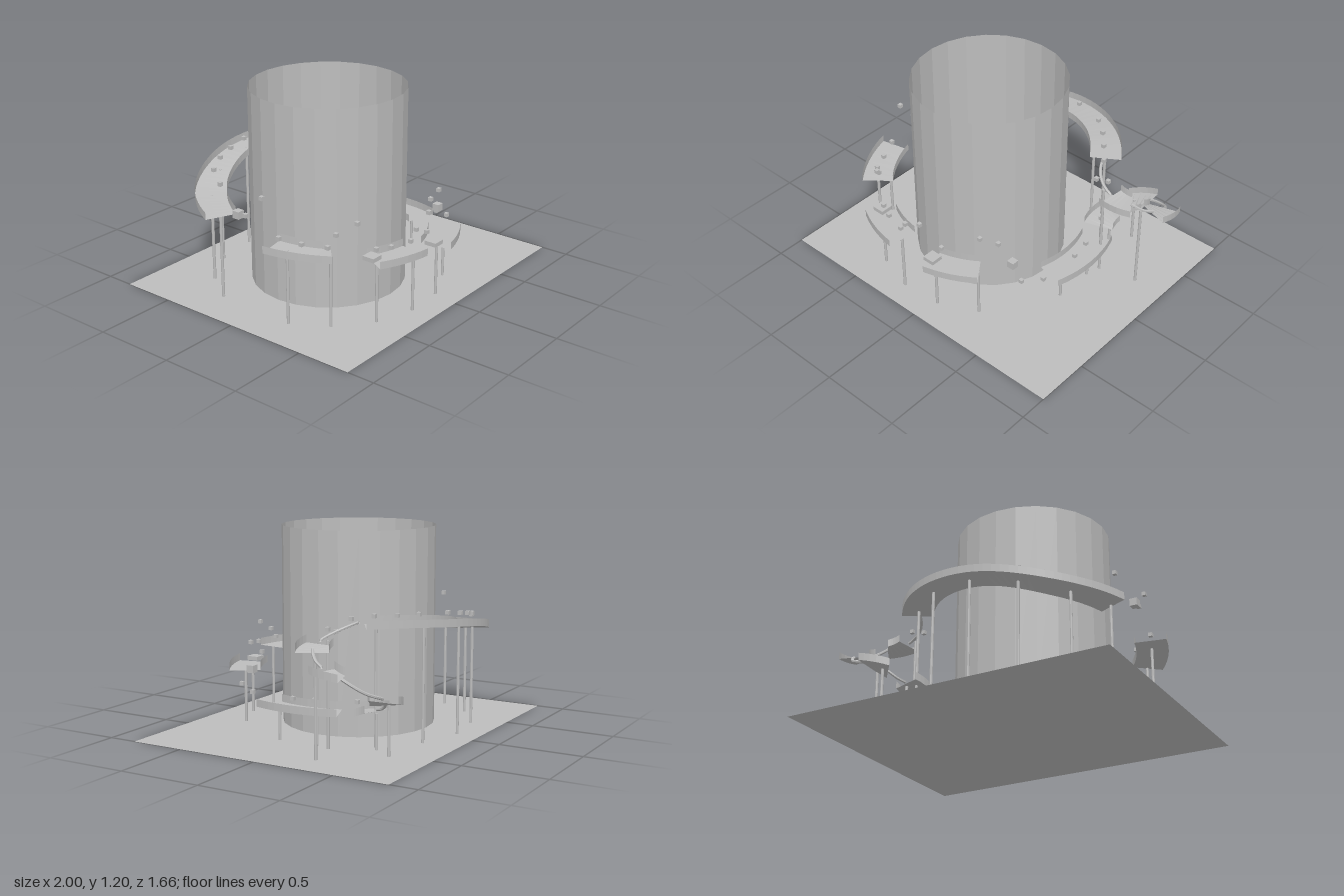
import * as THREE from 'three';

const RAD = Math.PI / 180;
const TOWER = [-0.135, 0];   // centre of the tower and the large ring
const LOOP = [0.65, -0.395]; // centre of the small descending loop

export function createModel() {
  const model = new THREE.Group();
  const grey = new THREE.MeshStandardMaterial({ color: 0xbdbdbd, side: THREE.DoubleSide, flatShading: true });
  grey.name = 'plain grey';

  function add(name, geometry, x = 0, y = 0, z = 0) {
    const mesh = new THREE.Mesh(geometry, grey);
    mesh.name = name;
    mesh.position.set(x, y, z);
    model.add(mesh);
    return mesh;
  }

  // Point on a circle; angles run from +x towards +z, in degrees
  const polar = ([cx, cz], r, deg, y) =>
    new THREE.Vector3(cx + r * Math.cos(deg * RAD), y, cz + r * Math.sin(deg * RAD));

  // Height between [angle, y] keys
  function heightAt(keys, t) {
    const curve = new THREE.CatmullRomCurve3(keys.map(([a, y]) => new THREE.Vector3(a, y, 0)));
    return curve.getPoint(t);
  }

  // Curved trough: thin floor with a low wall on each side
  function trough(name, centre, inner, outer, keys, steps, wall = 0.045) {
    const pos = [], index = [];
    for (let i = 0; i <= steps; i++) {
      const { x: a, y } = heightAt(keys, i / steps);
      for (const [r, h] of [[inner, wall], [inner, 0], [outer, 0], [outer, wall]]) {
        pos.push(...polar(centre, r, a, y + h).toArray());
      }
      if (i === steps) break;
      for (let j = 0; j < 3; j++) {
        const p = i * 4 + j;
        index.push(p, p + 4, p + 1, p + 1, p + 4, p + 5);
      }
    }
    const geo = new THREE.BufferGeometry();
    geo.setAttribute('position', new THREE.Float32BufferAttribute(pos, 3));
    geo.setIndex(index);
    const flat = geo.toNonIndexed();
    flat.computeVertexNormals();
    add(name, flat);
  }

  // Ground and open tower
  add('ground', new THREE.PlaneGeometry(2, 1.66).rotateX(-Math.PI / 2));
  add('tower', new THREE.CylinderGeometry(0.465, 0.465, 1.2, 24, 1, true), TOWER[0], 0.6, TOWER[1]);

  // Large ring of track sections
  const ring = [
    ['upperTrack', [[-33, 0.69], [-52, 0.69], [-90, 0.645], [-126, 0.555], [-157, 0.51]], 40],
    ['leftTrack', [[168, 0.455], [139.5, 0.43]], 8],
    ['frontLeftTrack', [[120, 0.372], [96.3, 0.372]], 8],
    ['frontRightTrack', [[77.7, 0.315], [53.6, 0.315]], 8],
    ['lowerTrack', [[18.2, 0.197], [-21, 0.197]], 12],
  ];
  for (const [name, keys, steps] of ring) trough(name, TOWER, 0.6, 0.788, keys, steps);

  // Fan-shaped sections of the small loop
  const fans = [
    [[96, 0.605], [57, 0.58]],
    [[17, 0.505], [-18, 0.475]],
    [[-93, 0.325], [-129, 0.28]],
    [[-161, 0.225], [-198, 0.197]],
  ];
  for (const keys of fans) trough('loopTrack', LOOP, 0.11, 0.295, keys, 6);

  // Thin rails joining the fans
  const rails = [
    [[165, 0.715], [130, 0.665], [96, 0.625]],
    [[57, 0.6], [37, 0.555], [17, 0.525]],
    [[-18, 0.475], [-55, 0.395], [-93, 0.345]],
    [[-129, 0.285], [-145, 0.25], [-161, 0.235]],
  ];
  for (const keys of rails) {
    const pts = [];
    for (let i = 0; i <= 12; i++) {
      const { x: a, y } = heightAt(keys, i / 12);
      pts.push(polar(LOOP, 0.2, a, y));
    }
    add('loopRail', new THREE.TubeGeometry(new THREE.CatmullRomCurve3(pts), 20, 0.009, 6));
  }

  // Support posts
  function post(x, z, top) {
    add('post', new THREE.CylinderGeometry(0.009, 0.009, top, 8), x, top / 2, z);
  }
  const ringPosts = [
    [-38, 0.69], [-62, 0.68], [-87, 0.65], [-111, 0.593], [-135, 0.54], [-156, 0.51],
    [160, 0.448], [139.8, 0.43], [118, 0.372], [97, 0.372], [75.6, 0.315], [54, 0.315],
    [11, 0.197], [-10, 0.197],
  ];
  for (const [a, top] of ringPosts) {
    const p = polar(TOWER, 0.69, a, 0);
    post(p.x, p.z, top);
  }
  for (const p of [[0.57, -0.21, 0.62], [0.8, -0.27, 0.55], [0.54, -0.58, 0.3], [0.455, -0.455, 0.21]]) post(...p);

  // Small floating cubes following the course
  const cube = new THREE.BoxGeometry(0.023, 0.023, 0.023);
  const backCubes = [
    [-0.505, 0.645, -0.58], [-0.385, 0.675, -0.64], [-0.26, 0.695, -0.67], [-0.125, 0.715, -0.685],
    [0.01, 0.735, -0.67], [0.22, 0.748, -0.595], [0.32, 0.748, -0.51], [0.405, 0.748, -0.41],
    [0.485, 0.735, -0.31], [0.59, 0.685, -0.22], [0.505, 0.66, -0.22],
  ];
  const rightCubes = [
    [0.47, 0.265, -0.34], [0.54, 0.26, -0.1], [0.56, 0.26, 0.03], [0.555, 0.265, 0.31],
    [0.49, 0.29, 0.43], [0.345, 0.51, 0.465], [0.225, 0.495, 0.49],
  ];
  const leftCubes = [
    [0.025, 0.385, 0.605], [-0.07, 0.557, 0.68], [-0.19, 0.495, 0.68], [-0.235, 0.437, 0.675],
    [-0.37, 0.437, 0.64], [-0.455, 0.442, 0.6], [-0.555, 0.615, 0.545], [-0.64, 0.555, 0.465],
    [-0.67, 0.48, 0.43], [-0.75, 0.495, 0.31], [-0.8, 0.515, 0.19], [-0.815, 0.73, 0.085],
    [-0.825, 0.6, -0.03], [-0.785, 0.72, -0.255],
  ];
  for (const p of [...backCubes, ...rightCubes, ...leftCubes]) add('marker', cube, ...p);

  // Larger blocks
  const block = new THREE.BoxGeometry(0.045, 0.045, 0.045);
  add('floatingBlock', block, -0.825, 0.595, -0.085);
  add('floatingBlock', block, 0.41, 0.365, 0.415);
  const slab = new THREE.BoxGeometry(0.075, 0.025, 0.075);
  add('slab', slab, -0.48, 0.4, 0.59);
  add('slab', slab, 0.01, 0.34, 0.665);

  return model;
}
